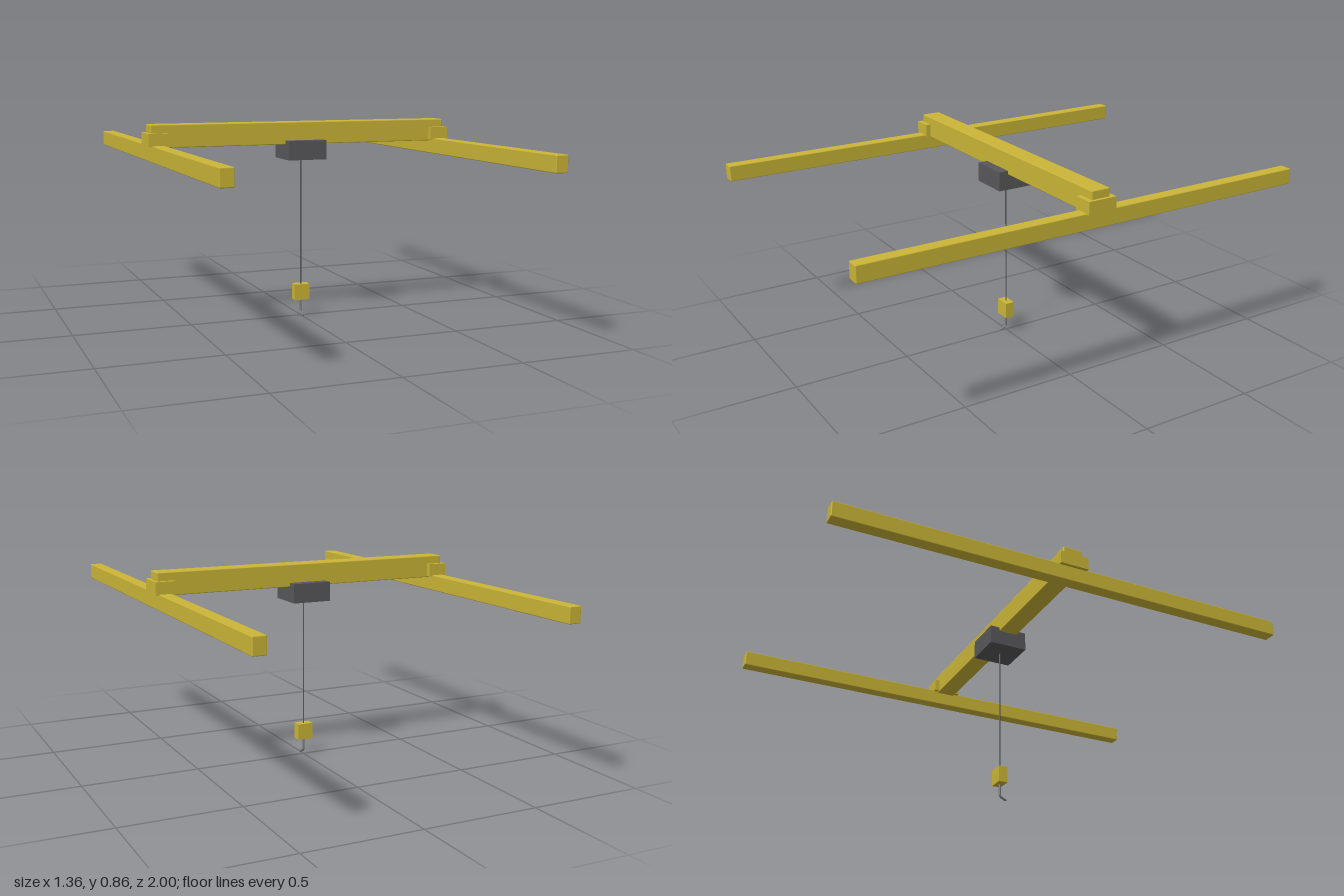
import * as THREE from 'three';
import { RoundedBoxGeometry } from 'three/addons/geometries/RoundedBoxGeometry.js';

function material(name, color) {
  const m = new THREE.MeshStandardMaterial({ color });
  m.name = name;
  return m;
}

export function createModel() {
  const yellow = material('crane yellow', 0xcab536);
  const charcoal = material('charcoal', 0x58585a);
  const steel = material('steel grey', 0x77777a);
  const crane = new THREE.Group();
  crane.name = 'overheadCrane';

  function add(name, geometry, mat, x = 0, y = 0, z = 0) {
    const mesh = new THREE.Mesh(geometry, mat);
    mesh.name = name;
    mesh.position.set(x, y, z);
    crane.add(mesh);
    return mesh;
  }
  // Beams have slightly softened edges
  const beam = (w, h, d) => new RoundedBoxGeometry(w, h, d, 1, 0.004);

  // Runway rails, with an end truck riding on each
  for (const [side, label] of [[1, 'left'], [-1, 'right']]) {
    add(label + 'Rail', beam(0.054, 0.068, 2), yellow, side * 0.641, 0.736, 0);
    add(label + 'EndTruck', new THREE.BoxGeometry(0.084, 0.055, 0.126), yellow, side * 0.64, 0.793, 0);
  }

  // Bridge girder and the hoist trolley hanging around its underside
  add('bridgeGirder', beam(1.336, 0.095, 0.084), yellow, 0, 0.8075, 0);
  add('hoistTrolley', new THREE.BoxGeometry(0.17, 0.082, 0.17), charcoal, 0, 0.736, 0);

  // Rope and hook block
  add('rope', new THREE.CylinderGeometry(0.003, 0.003, 0.56, 8), charcoal, 0, 0.418, 0);
  add('hookBlock', new THREE.BoxGeometry(0.068, 0.07, 0.04), yellow, 0, 0.107, 0);

  // Hook: a straight shank, then a short tip bent to the front
  const path = new THREE.CurvePath();
  const p = (y, z) => new THREE.Vector3(0, y, z);
  path.add(new THREE.LineCurve3(p(0.075, 0), p(0.026, 0)));
  path.add(new THREE.QuadraticBezierCurve3(p(0.026, 0), p(0.018, 0), p(0.014, 0.008)));
  path.add(new THREE.LineCurve3(p(0.014, 0.008), p(0.005, 0.026)));
  add('hook', new THREE.TubeGeometry(path, 24, 0.005, 8), steel);

  // Close the hook's tip
  const tip = add('hookTip', new THREE.SphereGeometry(0.005, 8, 6), steel, 0, 0.005, 0.026);
  tip.rotation.x = Math.PI / 2;

  return crane;
}
